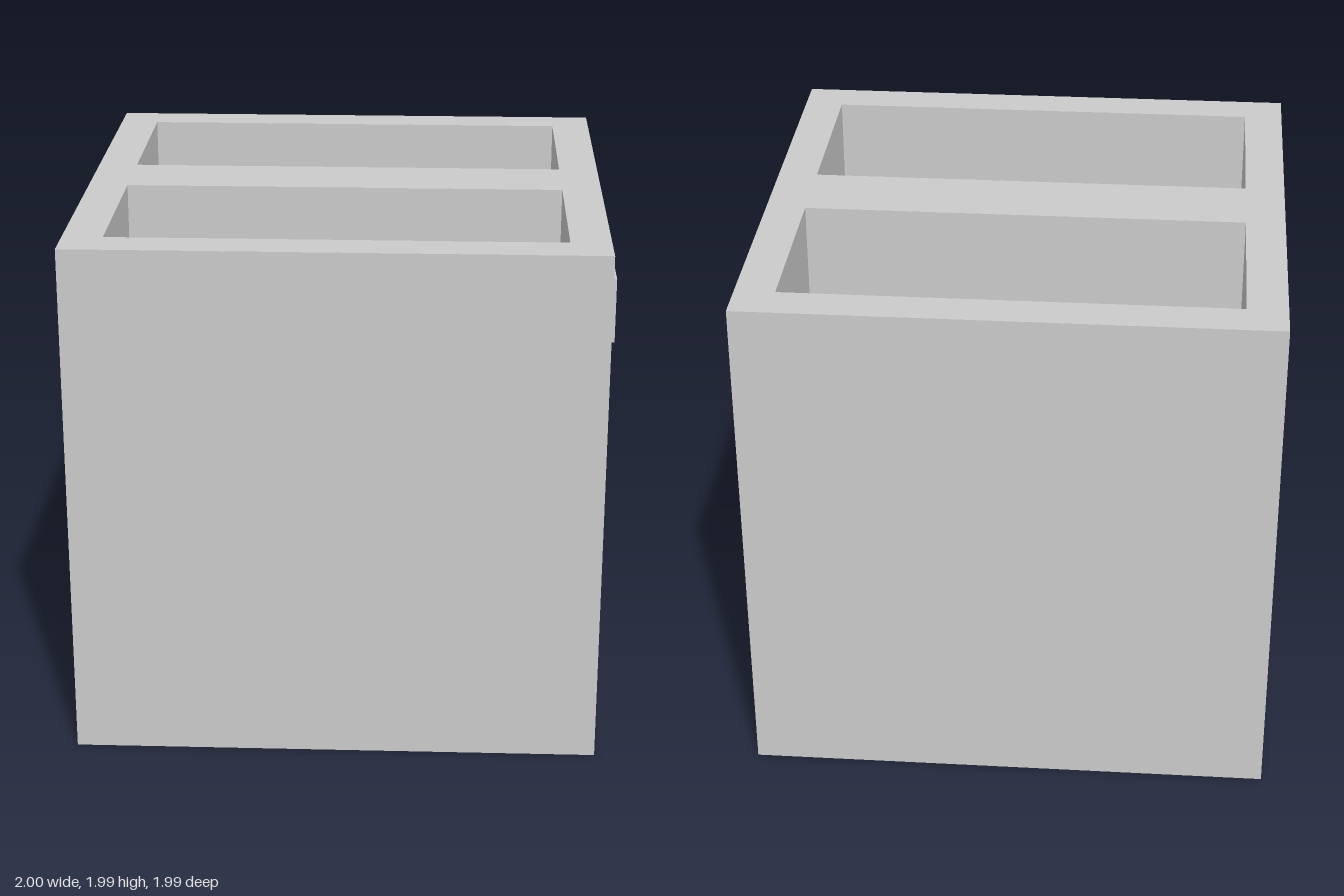
import * as THREE from 'three';

const material = new THREE.MeshStandardMaterial({ color: 0xcccccc });

// Rectangle corners for shapes and holes
const trace = (path, x0, y0, x1, y1) =>
  path.moveTo(x0, y0).lineTo(x1, y0).lineTo(x1, y1).lineTo(x0, y1).closePath();

// Rectangular slab with rectangular holes, extruded along +z
function slab(rect, holes, depth) {
  const shape = trace(new THREE.Shape(), ...rect);
  for (const h of holes) shape.holes.push(trace(new THREE.Path(), ...h));
  return new THREE.ExtrudeGeometry(shape, { depth, bevelEnabled: false });
}

export function createModel() {
  const group = new THREE.Group();
  const add = (name, geometry, x = 0, y = 0, z = 0) => {
    const mesh = new THREE.Mesh(geometry, material);
    mesh.name = name;
    mesh.position.set(x, y, z);
    group.add(mesh);
  };

  const H = 1.99, W = 0.995, FLOOR = 0.1;
  const FACE = 0.98, PANEL = 0.05, CORE = FACE - PANEL;

  // Carcass: closed floor with two deep wells open at the top
  const wells = [[-0.85, 0.15, 0.83, 0.84], [-0.85, -0.84, 0.83, -0.15]];
  add('carcass', slab([-1, -W, CORE, W], wells, H - FLOOR).rotateX(-Math.PI / 2), 0, FLOOR);
  add('floor', new THREE.BoxGeometry(CORE + 1, FLOOR, 2 * W), (CORE - 1) / 2, FLOOR / 2);

  // Face frame with one opening for both doors
  const frame = slab([-W, 0, W, H], [[-0.985, 0.004, 0.985, 1.503]], PANEL);
  add('faceFrame', frame.rotateY(Math.PI / 2), CORE);

  for (const s of [-1, 1]) {
    const side = s > 0 ? 'Front' : 'Back';
    // Inset door with a handle cut-out (shape x runs along -z)
    const span = (a, b) => [Math.min(-s * a, -s * b), Math.max(-s * a, -s * b)];
    const [d0, d1] = span(0.004, 0.985);
    const [h0, h1] = span(0.21, 0.785);
    const door = slab([d0, 0.01, d1, 1.49], [[h0, 1.195, h1, 1.31]], PANEL);
    add('door' + side, door.rotateY(Math.PI / 2), CORE);

    // Sloped upper lip inside the handle recess
    const wedge = new THREE.Shape().moveTo(CORE, 1.27).lineTo(FACE, 1.31).lineTo(CORE, 1.31).closePath();
    const lip = new THREE.ExtrudeGeometry(wedge, { depth: h1 - h0, bevelEnabled: false });
    add('handleLip' + side, lip, 0, 0, s * 0.4975 - (h1 - h0) / 2);

    // Raised plate above the door
    add('plate' + side, new THREE.BoxGeometry(0.03, 0.24, 0.745), 0.985, 1.745, s * 0.4975);
  }
  return group;
}
